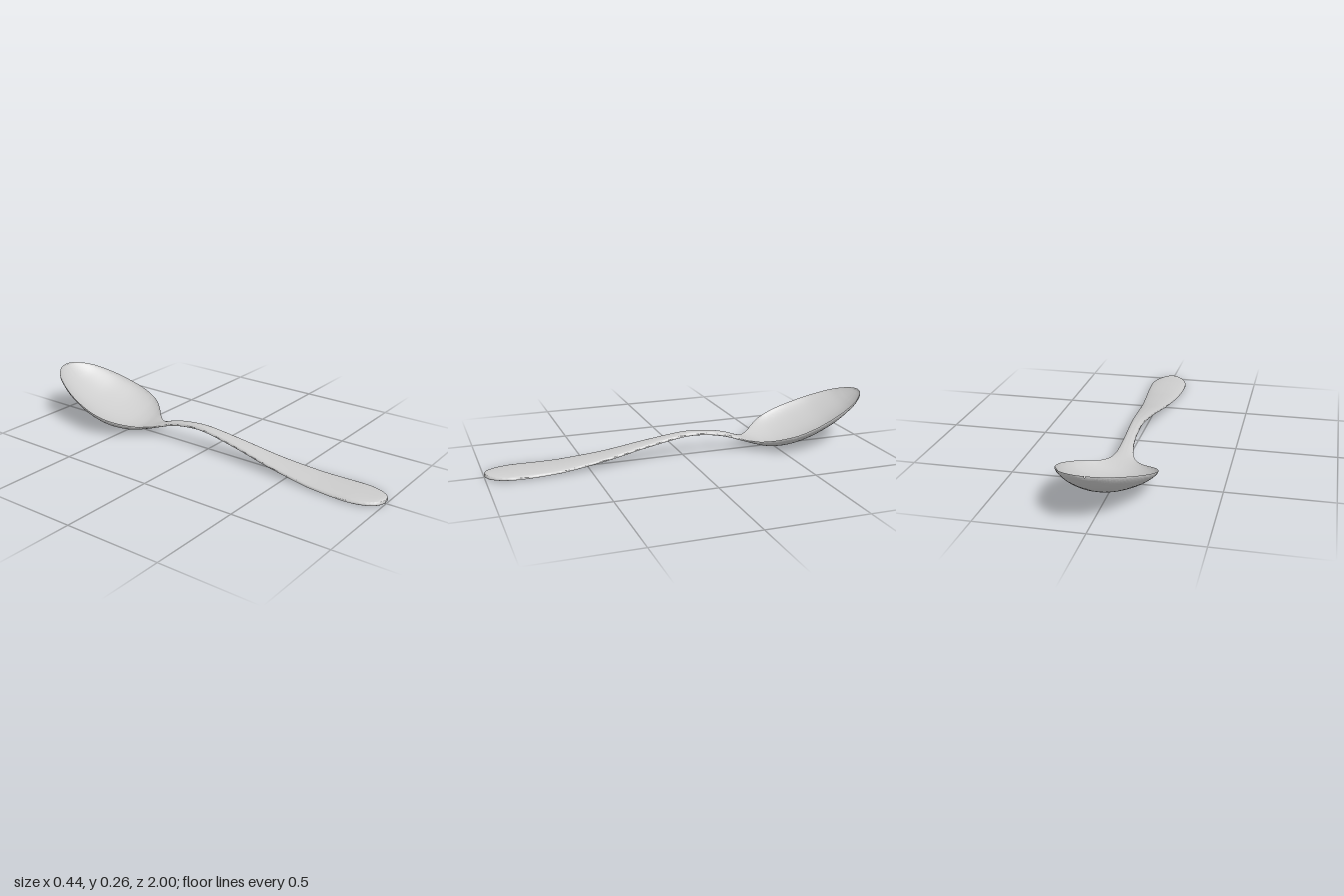
import * as THREE from 'three';
import { toCreasedNormals } from 'three/addons/utils/BufferGeometryUtils.js';

// Stations from bowl tip to handle end: z, half width, edge height, centre top, centre bottom
const stations = [
  [-1, 0.002, 0.257, 0.256, 0.252],
  [-0.995, 0.034, 0.255, 0.249, 0.241],
  [-0.98, 0.067, 0.25, 0.232, 0.223],
  [-0.95, 0.105, 0.24, 0.203, 0.192],
  [-0.9, 0.145, 0.223, 0.164, 0.152],
  [-0.8, 0.19, 0.188, 0.105, 0.093],
  [-0.7, 0.214, 0.153, 0.064, 0.052],
  [-0.62, 0.221, 0.126, 0.039, 0.027],
  [-0.55, 0.211, 0.102, 0.024, 0.012],
  [-0.5, 0.19, 0.086, 0.02, 0.007],
  [-0.45, 0.152, 0.068, 0.023, 0.008],
  [-0.4, 0.103, 0.053, 0.036, 0.019],
  [-0.35, 0.062, 0.05, 0.052, 0.036],
  [-0.3, 0.041, 0.061, 0.072, 0.054],
  [-0.22, 0.029, 0.086, 0.1, 0.078],
  [-0.12, 0.027, 0.103, 0.117, 0.096],
  [0, 0.031, 0.106, 0.12, 0.1],
  [0.2, 0.045, 0.077, 0.093, 0.07],
  [0.4, 0.064, 0.041, 0.058, 0.034],
  [0.6, 0.085, 0.016, 0.036, 0.01],
  [0.7, 0.094, 0.01, 0.03, 0.004],
  [0.8, 0.1, 0.008, 0.029, 0.002],
  [0.87, 0.099, 0.008, 0.029, 0.001],
  [0.93, 0.084, 0.008, 0.028, 0.001],
  [0.97, 0.06, 0.009, 0.027, 0.001],
  [0.99, 0.035, 0.01, 0.025, 0.002],
  [1, 0.002, 0.011, 0.02, 0.005],
];

const spline = (pick) =>
  new THREE.CatmullRomCurve3(stations.map((s) => new THREE.Vector3(...pick(s))), false, 'catmullrom', 0.5);

// Lofts closed cross-sections along the length; each has an upper and a lower sheet
function loftSpoon(rings, half) {
  const plan = spline((s) => [s[1], s[2], s[0]]);
  const heights = spline((s) => [s[3], s[4], 0]);
  const positions = [];
  const index = [];
  const loop = 2 * (half + 1);
  const edge = 0.003;
  for (let i = 0; i <= rings; i++) {
    const { x: w, y: rim, z } = plan.getPoint(i / rings);
    const { x: top, y: bottom } = heights.getPoint(i / rings);
    // Rounded handle section blends into the shallower bowl section
    const power = 0.75 - 0.25 * THREE.MathUtils.smoothstep(z, -0.42, -0.25);
    for (let j = 0; j < loop; j++) {
      const upper = j <= half;
      const angle = (Math.PI * (upper ? j : j - half - 1)) / half;
      const s = upper ? Math.cos(angle) : -Math.cos(angle);
      const rise = Math.pow(Math.max(0, 1 - s * s), power);
      const start = rim + (upper ? edge : -edge);
      positions.push(w * s, start + ((upper ? top : bottom) - start) * rise, z);
    }
  }
  for (let i = 0; i < rings; i++) {
    for (let j = 0; j < loop; j++) {
      const a = i * loop + j;
      const b = i * loop + ((j + 1) % loop);
      index.push(a, b, b + loop, a, b + loop, a + loop);
    }
  }
  const geometry = new THREE.BufferGeometry();
  geometry.setAttribute('position', new THREE.Float32BufferAttribute(positions, 3));
  geometry.setIndex(index);
  return toCreasedNormals(geometry, 0.8);
}

export function createModel() {
  const group = new THREE.Group();
  group.name = 'spoon';
  const material = new THREE.MeshStandardMaterial({ color: 0xcccccc });
  // Bowl and handle are one continuous piece of metal
  const spoon = new THREE.Mesh(loftSpoon(182, 36), material);
  spoon.name = 'bowlAndHandle';
  group.add(spoon);
  return group;
}
